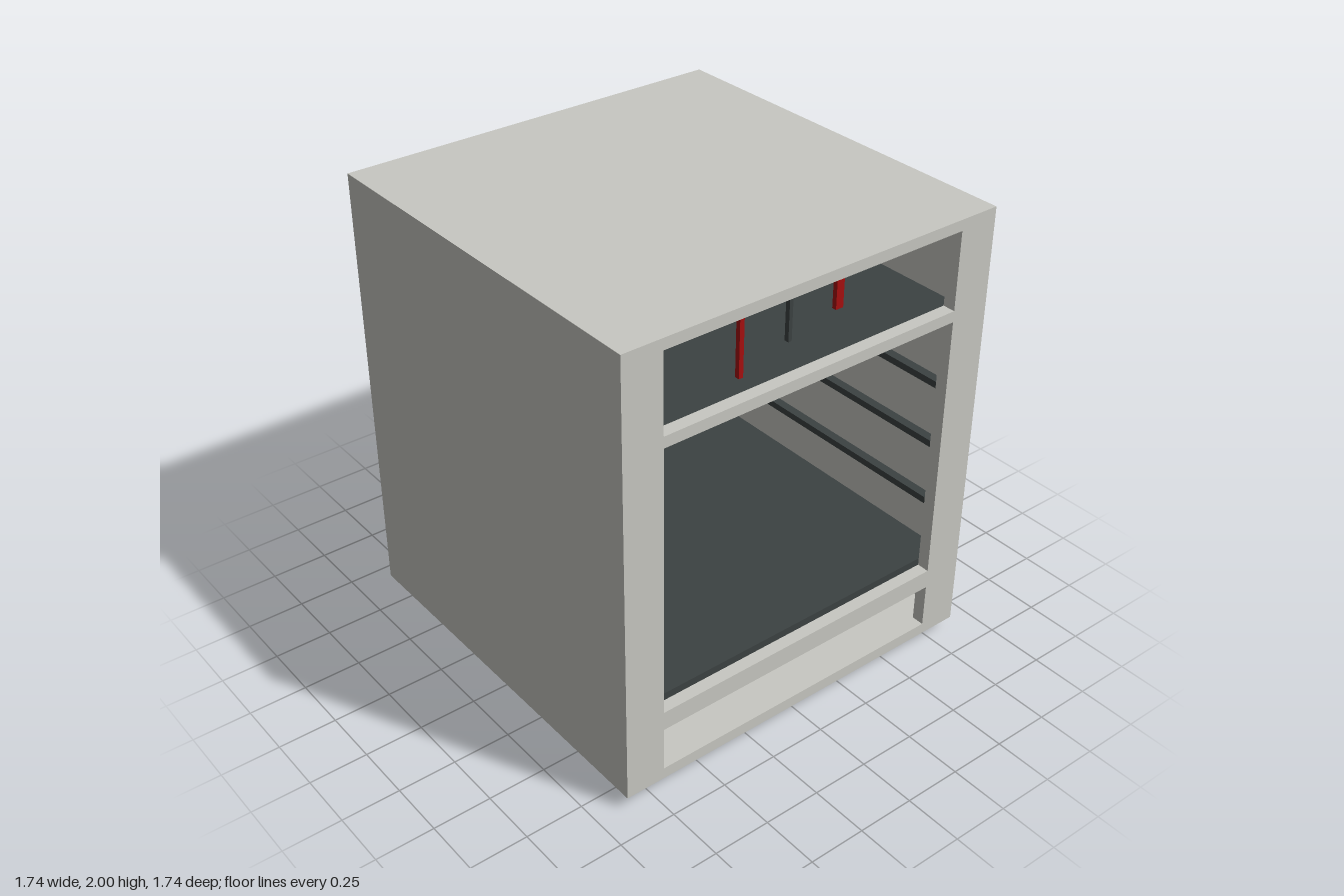
import * as THREE from 'three';

const paint = (name, color) => {
  const m = new THREE.MeshStandardMaterial({ color });
  m.name = name;
  return m;
};

export function createModel() {
  const shellGrey = paint('shell grey', 0xc8c8c2);
  const panelGrey = paint('blue grey panel', 0x8d9394);
  const slate = paint('dark slate', 0x3c4242);
  const rubber = paint('black rubber', 0x222222);
  const red = paint('red', 0xa80f0f);

  const model = new THREE.Group();
  model.name = 'cabinet';

  // Box given by its min and max corners
  const box = (name, material, [x0, y0, z0], [x1, y1, z1], parent = model) => {
    const mesh = new THREE.Mesh(new THREE.BoxGeometry(x1 - x0, y1 - y0, z1 - z0), material);
    mesh.position.set((x0 + x1) / 2, (y0 + y1) / 2, (z0 + z1) / 2);
    mesh.name = name;
    parent.add(mesh);
    return mesh;
  };

  const R = 0.87, IN = 0.815, BOTTOM = 0.055, FLOOR = 0.105, CEIL = 1.953, TOP = 2;
  const OPEN = 0.695, FRONT = 0.815;

  // Outer shell: floor, top, back and sides
  box('shellFloor', shellGrey, [-R, BOTTOM, -R], [R, FLOOR, FRONT]);
  box('shellTop', shellGrey, [-R, CEIL, -R], [R, TOP, FRONT]);
  box('shellBack', shellGrey, [-R, FLOOR, -R], [R, CEIL, -IN]);
  box('rightWall', shellGrey, [-R, FLOOR, -IN], [-IN, CEIL, FRONT]);
  box('leftWall', shellGrey, [IN, FLOOR, -IN], [R, CEIL, FRONT]);

  // Front frame with three openings
  const face = new THREE.Shape();
  face.moveTo(-R, BOTTOM).lineTo(R, BOTTOM).lineTo(R, TOP).lineTo(-R, TOP).closePath();
  for (const [y0, y1] of [[FLOOR, 0.302], [0.387, 1.57], [1.618, CEIL]]) {
    const hole = new THREE.Path();
    hole.moveTo(-OPEN, y0).lineTo(-OPEN, y1).lineTo(OPEN, y1).lineTo(OPEN, y0).closePath();
    face.holes.push(hole);
  }
  const frame = new THREE.Mesh(
    new THREE.ExtrudeGeometry(face, { depth: R - FRONT, bevelEnabled: false }), shellGrey);
  frame.position.z = FRONT;
  frame.name = 'frontFrame';
  model.add(frame);

  // Dark slabs dividing the interior into three compartments
  box('lowerDivider', slate, [-IN, 0.387, -IN], [IN, 0.42, FRONT]);
  box('upperDivider', slate, [-IN, 1.535, -IN], [IN, 1.57, FRONT]);

  // Back panels of the upper and lower compartments
  box('lowerBackPanel', panelGrey, [-IN, FLOOR, -IN], [IN, 0.387, -IN + 0.008]);
  box('upperBackPanel', panelGrey, [-IN, 1.57, -IN], [IN, CEIL, -IN + 0.008]);

  // Shelf rails on both inner walls
  const rails = new THREE.Group();
  rails.name = 'shelfRails';
  model.add(rails);
  for (const y of [0.64, 0.92, 1.2]) {
    box('rightRail', slate, [-IN, y - 0.015, -IN], [-0.775, y + 0.015, FRONT], rails);
    box('leftRail', slate, [0.775, y - 0.015, -IN], [IN, y + 0.015, FRONT], rails);
  }

  // Strips hanging in the upper compartment
  for (const [name, mat, x, w, y] of [
    ['longRedStrip', red, -0.29, 0.02, 1.655],
    ['darkStrip', slate, -0.065, 0.016, 1.722],
    ['shortRedStrip', red, 0.17, 0.035, 1.775],
  ]) box(name, mat, [x - w / 2, y, 0.77], [x + w / 2, CEIL, 0.79]);

  // Four feet
  for (const sx of [-1, 1]) for (const sz of [-1, 1]) {
    const foot = box('foot', rubber, [-0.06, 0, -0.06], [0.06, BOTTOM, 0.06]);
    foot.position.x = 0.76 * sx;
    foot.position.z = 0.76 * sz;
  }

  return model;
}
